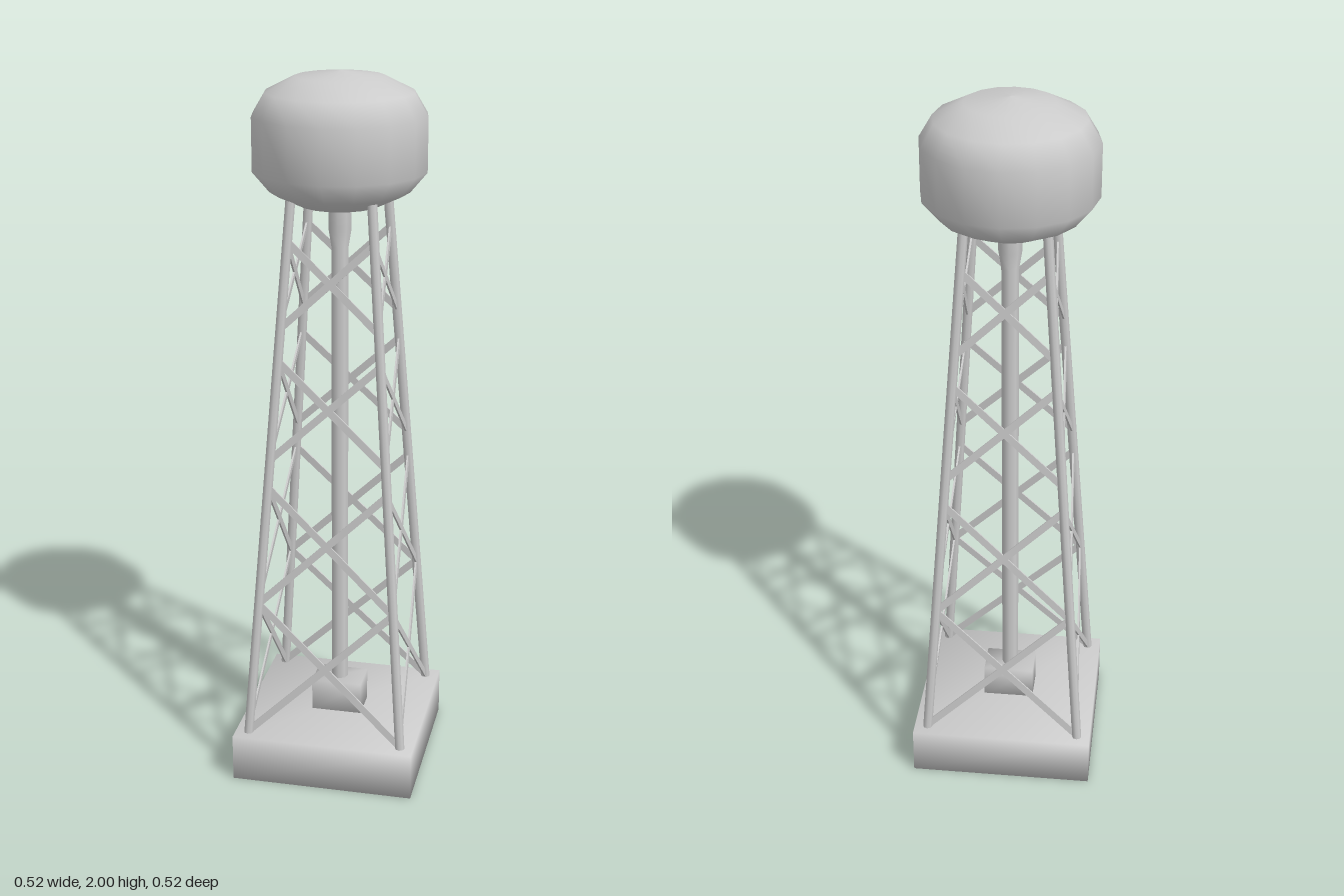
import * as THREE from 'three';
import { mergeVertices } from 'three/addons/utils/BufferGeometryUtils.js';

const material = new THREE.MeshStandardMaterial({ color: 0xcccccc });
const UP = new THREE.Vector3(0, 1, 0);

// Shared corners give the soft shading across edges
function smooth(geometry) {
  geometry.deleteAttribute('normal');
  geometry.deleteAttribute('uv');
  const merged = mergeVertices(geometry);
  merged.computeVertexNormals();
  return merged;
}

function add(parent, name, geometry) {
  const mesh = new THREE.Mesh(geometry, material);
  mesh.name = name;
  parent.add(mesh);
  return mesh;
}

// Half spacing of the legs at height y
const FOOT_Y = 0.13, TOP_Y = 1.68;
const spread = (y) => THREE.MathUtils.mapLinear(y, FOOT_Y, TOP_Y, 0.222, 0.109);

// Round bar between two points
function bar(parent, name, a, b, radius, sides) {
  const dir = b.clone().sub(a);
  const mesh = add(parent, name, new THREE.CylinderGeometry(radius, radius, dir.length(), sides));
  mesh.position.copy(a).lerp(b, 0.5);
  mesh.quaternion.setFromUnitVectors(UP, dir.normalize());
}

// Flat strip from a to b, lying in the plane of a tower face
function strip(parent, name, a, b, width, thickness) {
  const dir = b.clone().sub(a);
  const mesh = add(parent, name, new THREE.BoxGeometry(width, dir.length(), thickness));
  mesh.position.copy(a).lerp(b, 0.5);
  const y = dir.normalize();
  const faceNormal = new THREE.Vector3(0, spread(0) - spread(1), 1).normalize();
  const x = new THREE.Vector3().crossVectors(y, faceNormal).normalize();
  const z = new THREE.Vector3().crossVectors(x, y);
  mesh.quaternion.setFromRotationMatrix(new THREE.Matrix4().makeBasis(x, y, z));
}

export function createModel() {
  const tower = new THREE.Group();
  tower.name = 'waterTower';

  // Foundation slab and the housing at the foot of the pipe
  add(tower, 'foundation', smooth(new THREE.BoxGeometry(0.52, 0.136, 0.52))).position.y = 0.068;
  add(tower, 'pipeHousing', smooth(new THREE.BoxGeometry(0.146, 0.1, 0.1))).position.y = 0.18;

  // Central riser pipe, flared below the tank
  const pipeProfile = [[0.024, 0.2], [0.024, 1.53], [0.032, 1.58], [0.032, 1.66]];
  add(tower, 'riserPipe', new THREE.LatheGeometry(
    pipeProfile.map(([r, y]) => new THREE.Vector2(r, y)), 8));

  // Tank with a straight band between domed ends
  const tankProfile = [[0, 1.635], [0.11, 1.647], [0.19, 1.685], [0.236, 1.74],
    [0.236, 1.885], [0.2, 1.945], [0.12, 1.985], [0, 2]];
  add(tower, 'tank', new THREE.LatheGeometry(
    tankProfile.map(([r, y]) => new THREE.Vector2(r, y)), 16));

  // Four leaning legs
  for (const sx of [-1, 1]) {
    for (const sz of [-1, 1]) {
      const at = (y) => new THREE.Vector3(sx * spread(y), y, sz * spread(y));
      bar(tower, 'leg', at(FOOT_Y), at(TOP_Y), 0.0135, 8);
    }
  }

  // Crossed braces: four tiers on each face
  const tiers = [[0.14, 0.535], [0.535, 0.88], [0.96, 1.24], [1.33, 1.565]];
  for (let face = 0; face < 4; face++) {
    const bracing = new THREE.Group();
    bracing.name = 'faceBracing';
    bracing.rotation.y = face * Math.PI / 2;
    tower.add(bracing);
    for (const [low, high] of tiers) {
      for (const s of [-1, 1]) {
        const a = new THREE.Vector3(s * spread(low), low, spread(low));
        const b = new THREE.Vector3(-s * spread(high), high, spread(high));
        strip(bracing, 'brace', a, b, 0.02, 0.005);
      }
    }
  }
  return tower;
}
